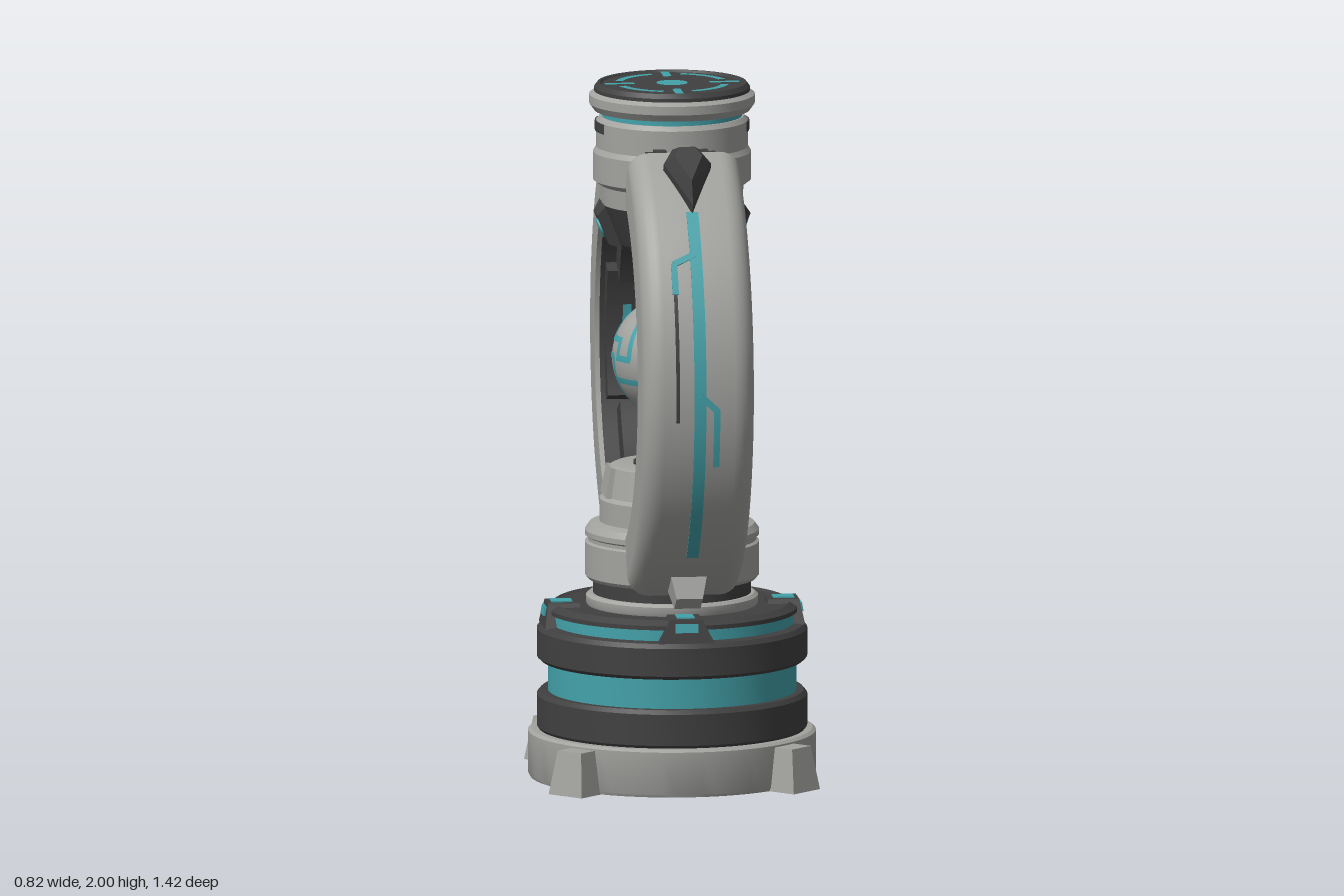
import * as THREE from 'three';
import { mergeGeometries, toCreasedNormals } from 'three/addons/utils/BufferGeometryUtils.js';
import { ConvexGeometry } from 'three/addons/geometries/ConvexGeometry.js';

const D = Math.PI / 180;
const RING_Y = 1.205, RING_R = 0.705;

function paint(name, color) {
  const m = new THREE.MeshStandardMaterial({ color });
  m.name = name;
  return m;
}
const light = paint('lightGrey', 0xa2a29f);
const dark = paint('darkGrey', 0x404040);
const teal = paint('teal', 0x43a2aa);

function add(parent, name, geometry, material) {
  const mesh = new THREE.Mesh(geometry, material);
  mesh.name = name;
  parent.add(mesh);
  return mesh;
}
const vecs = pts => pts.map(([a, b]) => new THREE.Vector2(a, b));

// Part turned about the vertical axis; profile is [radius, y] from bottom to top
function turned(parent, name, pts, material, start = 0, length = Math.PI * 2) {
  const segs = Math.max(8, Math.round(length * 11));
  const g = toCreasedNormals(new THREE.LatheGeometry(vecs(pts), segs, start, length), 0.5);
  return add(parent, name, g, material);
}

// Closed [radius, x] profile swept about the x axis between two angles (degrees, 0 = +z, up positive)
function arcSolid(parent, name, pts, a0, a1, material) {
  const p0 = -a1 * D, span = (a1 - a0) * D;
  const body = new THREE.LatheGeometry(vecs([...pts, pts[0]]), Math.max(2, Math.round((a1 - a0) / 3)), p0, span);
  const cap = phi => new THREE.ShapeGeometry(new THREE.Shape(vecs(pts))).rotateY(phi - Math.PI / 2);
  const end = cap(p0 + span);
  end.setIndex(Array.from(end.index.array).reverse());
  const g = mergeGeometries([body, cap(p0), end]).rotateZ(-Math.PI / 2);
  return add(parent, name, toCreasedNormals(g, 0.6), material);
}
const rect = (r0, r1, x0, x1) => [[r0, x0], [r1, x0], [r1, x1], [r0, x1]];

// Puts a mesh on the arm so that its z points outward and its y runs along the arm
function onArc(mesh, x, r, deg) {
  mesh.position.set(x, r * Math.sin(deg * D), r * Math.cos(deg * D));
  mesh.rotation.x = -deg * D;
  return mesh;
}

// Tapered block: bottom w0 x d0, top w1 x d1, standing on y = 0
function taper(w0, d0, w1, d1, h) {
  const pts = [];
  for (const sx of [-0.5, 0.5]) for (const sz of [-0.5, 0.5]) {
    pts.push(new THREE.Vector3(sx * w0, 0, sz * d0), new THREE.Vector3(sx * w1, h, sz * d1));
  }
  return new ConvexGeometry(pts);
}

function makeBase(root) {
  const base = new THREE.Group();
  base.name = 'base';
  root.add(base);
  turned(base, 'footRing', [[0, 0], [0.405, 0], [0.41, 0.01], [0.41, 0.13], [0.4, 0.137], [0.37, 0.137]], light);
  turned(base, 'lowerBand', [[0.355, 0.135], [0.378, 0.135], [0.385, 0.145], [0.385, 0.235], [0.375, 0.247], [0.35, 0.247]], dark);
  turned(base, 'glowBand', [[0.354, 0.24], [0.354, 0.34]], teal);
  turned(base, 'upperBand', [[0.35, 0.335], [0.375, 0.335], [0.385, 0.345], [0.385, 0.425], [0.375, 0.438], [0.345, 0.442]], dark);
  turned(base, 'deckGlow', [[0.348, 0.435], [0.348, 0.48]], teal);
  turned(base, 'deck', [[0.34, 0.474], [0.357, 0.474], [0.357, 0.486], [0.335, 0.5], [0.325, 0.494], [0.19, 0.494]], dark);

  for (let i = 0; i < 4; i++) {
    // Feet on the diagonals
    const foot = new THREE.Group();
    foot.name = 'foot';
    foot.rotation.y = (45 + 90 * i) * D;
    base.add(foot);
    add(foot, 'footBlock', taper(0.12, 0.13, 0.085, 0.09, 0.125), light).position.z = 0.425;

    // Lamps on the deck
    const lamp = new THREE.Group();
    lamp.name = 'deckLamp';
    lamp.rotation.y = 90 * i * D;
    base.add(lamp);
    add(lamp, 'lampHousing', taper(0.16, 0.115, 0.09, 0.09, 0.068), dark).position.set(0, 0.438, 0.315);
    add(lamp, 'lampTop', new THREE.BoxGeometry(0.05, 0.006, 0.06), teal).position.set(0, 0.507, 0.318);
    const face = add(lamp, 'lampFace', new THREE.BoxGeometry(0.065, 0.026, 0.008), teal);
    face.position.set(0, 0.481, 0.367);
    face.rotation.x = -0.18;
  }
}

function makePedestal(root) {
  const g = new THREE.Group();
  g.name = 'pedestal';
  root.add(g);
  turned(g, 'collar', [[0.24, 0.49], [0.245, 0.5], [0.245, 0.52], [0.235, 0.528], [0.2, 0.528]], light);
  turned(g, 'collarGroove', [[0.225, 0.525], [0.225, 0.575]], dark);
  turned(g, 'pedestalBody', [[0.21, 0.57], [0.24, 0.57], [0.248, 0.58], [0.248, 0.675], [0.24, 0.68], [0.24, 0.69],
    [0.248, 0.695], [0.248, 0.71], [0.235, 0.728], [0.207, 0.735], [0.207, 0.8], [0.194, 0.81], [0.177, 0.893], [0.165, 0.898], [0.1, 0.898]], light);
  turned(g, 'emitter', [[0.11, 0.89], [0.11, 0.906], [0.085, 0.908], [0.08, 0.9], [0, 0.9]], dark);
  for (const s of [-1, 1]) {
    const plate = add(g, 'pedestalPlate', taper(0.03, 0.14, 0.03, 0.11, 0.085), light);
    plate.position.set(s * 0.183, 0.808, 0);
    plate.rotation.z = s * 0.19;
  }
}

function makeOrb(root) {
  const orb = new THREE.Group();
  orb.name = 'orb';
  orb.position.y = RING_Y;
  root.add(orb);
  add(orb, 'orbBall', new THREE.SphereGeometry(0.171, 48, 32), light);
  // Circuit lines as [lon0, lon1, lat0, lat1] patches, repeated on both sides
  const lines = [[-12, 85, 0, 6], [33, 39, 3, 60], [2, 8, 18, 68], [-23, 5, 17, 23], [-23, -17, 0, 20], [-40, -20, 0, 6],
    [-41, -35, 3, 42], [6, 12, -75, 3], [-14, -8, -75, 3], [12, 80, -22, -16], [-80, -14, -22, -16], [82, 88, -55, 62]];
  for (const turn of [0, Math.PI]) for (const [l0, l1, t0, t1] of lines) {
    const segs = d => Math.max(2, Math.ceil(d / 6));
    const patch = new THREE.SphereGeometry(0.1735, segs(l1 - l0), segs(t1 - t0),
      Math.PI - l1 * D + turn, (l1 - l0) * D, (90 - t1) * D, (t1 - t0) * D);
    add(orb, 'orbLine', patch, teal);
  }
}

function makeHead(root) {
  const head = new THREE.Group();
  head.name = 'head';
  root.add(head);
  turned(head, 'projector', [[0, 1.515], [0.07, 1.515], [0.075, 1.5], [0.115, 1.5], [0.12, 1.53], [0.15, 1.535], [0.197, 1.65]], dark);
  turned(head, 'headBody', [[0.18, 1.65], [0.2, 1.65], [0.204, 1.705], [0.225, 1.72], [0.225, 1.8], [0.216, 1.815], [0.216, 1.89], [0.205, 1.903], [0.19, 1.903]], light);
  turned(head, 'headGlow', [[0.2, 1.9], [0.2, 1.925]], teal);
  turned(head, 'headRim', [[0.2, 1.918], [0.222, 1.92], [0.236, 1.94], [0.236, 1.965], [0.222, 1.975], [0.2, 1.975]], light);
  turned(head, 'headCap', [[0.222, 1.972], [0.222, 1.985], [0.212, 1.998], [0.205, 1.998], [0.2, 1.992], [0, 1.992]], dark);

  // Teal marks on the cap
  const flat = (name, geometry) => {
    const m = add(head, name, geometry.rotateX(-Math.PI / 2), teal);
    m.position.y = 1.996;
  };
  flat('capDot', new THREE.CircleGeometry(0.045, 32));
  for (let i = 0; i < 4; i++) {
    flat('capArc', new THREE.RingGeometry(0.142, 0.164, 16, 1, (90 * i + 16) * D, 58 * D));
    flat('capBar', new THREE.PlaneGeometry(0.085, 0.024).translate(0.15, 0, 0).rotateZ(90 * i * D));
  }
  for (const s of [-1, 1]) {
    // Side slot and lens housing
    turned(head, 'sideSlot', [[0.213, 1.862], [0.22, 1.862], [0.22, 1.89], [0.213, 1.89]], dark, s * Math.PI / 2 - 0.38, 0.76);
    const pod = new THREE.Group();
    pod.name = 'lensPod';
    pod.position.set(s * 0.175, 1.593, 0);
    pod.rotation.z = -s * Math.PI / 2 - s * 0.38;
    head.add(pod);
    add(pod, 'podHousing', taper(0.13, 0.15, 0.09, 0.1, 0.03), dark);
    add(pod, 'podLens', new THREE.CylinderGeometry(0.028, 0.028, 0.008, 24), teal).position.y = 0.032;
  }
}

function makeArm(root, side) {
  const arm = new THREE.Group();
  arm.name = side > 0 ? 'frontArm' : 'backArm';
  arm.position.y = RING_Y;
  arm.rotation.y = side > 0 ? 0 : Math.PI;
  root.add(arm);

  // Rounded channel-shaped shell
  const w = 0.16, c = 0.06, shell = [[0.535, -w]];
  for (const s of [-1, 1]) for (let i = 0; i <= 6; i++) {
    const t = (s < 0 ? i : 6 - i) * Math.PI / 12;
    shell.push([RING_R - c + c * Math.sin(t), s * (w - c + c * Math.cos(t))]);
  }
  shell.push([0.535, w], [0.535, w - 0.014], [0.62, w - 0.014], [0.62, -w + 0.014], [0.535, -w + 0.014]);
  arcSolid(arm, 'armShell', shell, -65, 65, light);

  // Dark lining and stepped inner blocks
  arcSolid(arm, 'armLining', rect(0.55, 0.63, -0.147, 0.147), -64, 64, dark);
  for (const [r, hw, a0, a1] of [[0.462, 0.1, 18, 42], [0.5, 0.13, 8, 20], [0.512, 0.13, -10, 10], [0.5, 0.13, -22, -8],
    [0.462, 0.1, -57, -25], [0.525, 0.12, 44, 60]]) {
    arcSolid(arm, 'innerBlock', rect(r, 0.56, -hw, hw), a0, a1, dark);
  }
  for (const x of [-0.07, 0.07]) arcSolid(arm, 'innerGlow', rect(0.508, 0.514, x - 0.012, x + 0.012), -8, 8, teal);

  // Circuit lines on the outer face
  const line = (name, x, hw, a0, a1, mat) =>
    arcSolid(arm, name, rect(RING_R - 0.003, RING_R + 0.004, side * x - hw, side * x + hw), a0, a1, mat);
  line('mainLine', 0, 0.017, -44.5, 45, teal);
  line('upperBranch', -0.064, 0.009, 24, 31.5, teal);
  line('upperGroove', -0.064, 0.005, -6, 24, dark);
  line('lowerBranch', 0.048, 0.009, -17, -3, teal);
  for (const [x, deg] of [[-0.034, 32.6], [0.026, -1.6]]) {
    const link = onArc(add(arm, 'branchLink', new THREE.BoxGeometry(0.068, 0.018, 0.007), teal), side * x, RING_R + 0.001, deg);
    link.rotation.z = side * (x < 0 ? 0.45 : -0.75);
  }

  // Faceted crest near the top
  const outline = [[0, -0.14], [0.068, 0.03], [0.038, 0.09], [-0.038, 0.09], [-0.068, 0.03]];
  const pts = outline.flatMap(([x, y]) => [new THREE.Vector3(x, y, -0.02), new THREE.Vector3(x, y, 0.022),
    new THREE.Vector3(x * 0.58, y * 0.6 + 0.005, 0.062)]);
  onArc(add(arm, 'crest', new ConvexGeometry(pts), dark), 0, RING_R, 56);
  for (let i = 0; i < 2; i++) line('crestVent', 0, 0.045, 63 - i * 0.9, 63.4 - i * 0.9, dark);

  // Nub near the bottom
  const nub = taper(0.11, 0.11, 0.075, 0.07, 0.08).rotateX(Math.PI / 2);
  onArc(add(arm, 'armNub', nub, light), 0, RING_R - 0.02, -57.5);

  // Joints to the head and pedestal
  add(arm, 'upperJoint', new THREE.BoxGeometry(0.2, 0.11, 0.13), dark).position.set(0, 0.57, 0.245);
  for (const x of [-0.06, 0.06]) add(arm, 'jointRib', new THREE.BoxGeometry(0.035, 0.12, 0.1), dark).position.set(x, 0.573, 0.235);
  add(arm, 'lowerJoint', new THREE.BoxGeometry(0.2, 0.11, 0.13), dark).position.set(0, -0.55, 0.25);
}

export function createModel() {
  const root = new THREE.Group();
  root.name = 'orbDevice';
  makeBase(root);
  makePedestal(root);
  makeOrb(root);
  makeHead(root);
  for (const side of [1, -1]) makeArm(root, side);
  return root;
}
